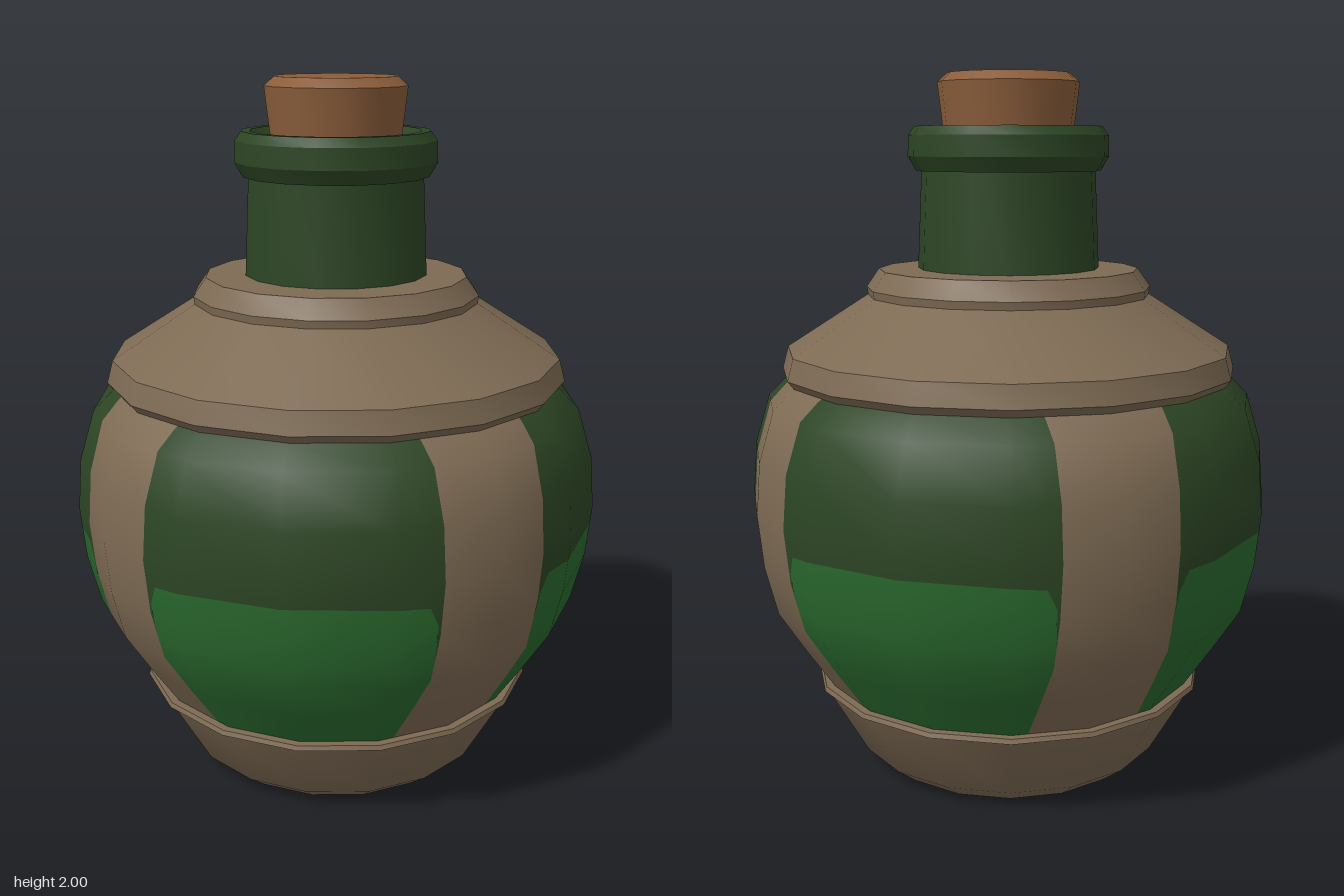
import * as THREE from 'three';
import { toCreasedNormals } from 'three/addons/utils/BufferGeometryUtils.js';

const SIDES = 16;
const STEP = (Math.PI * 2) / SIDES;
const STRAP = 0.165; // half width of the upright straps

// Bulging belly profile: [y, radius]
const BELLY = [[0.25, 0.537], [0.27, 0.55], [0.39, 0.63], [0.51, 0.705], [0.65, 0.74],
  [0.8, 0.755], [0.95, 0.743], [1.09, 0.7], [1.14, 0.65], [1.17, 0.61]];

function radiusAt(y) {
  let i = 0;
  while (i < BELLY.length - 2 && y > BELLY[i + 1][0]) i++;
  const [y0, r0] = BELLY[i], [y1, r1] = BELLY[i + 1];
  return r0 + ((r1 - r0) * (y - y0)) / (y1 - y0);
}

// Each column gives a point on the sixteen-sided ring of radius r
const corner = (k) => (r) => [r * Math.sin(k * STEP), r * Math.cos(k * STEP)];
const beside = (x) => (r) => {
  const t = Math.abs(x) / (r * Math.sin(STEP));
  return [x, r * (1 + t * (Math.cos(STEP) - 1))];
};
const swapped = (col) => (r) => col(r).reverse();

// Grid of columns and rows on the belly; rowY(row, column) gives the height
function bellyPatch(columns, rows, rowY) {
  const pos = [], nor = [], index = [];
  const w = columns.length;
  rows.forEach((row, j) => columns.forEach((col, i) => {
    const y = rowY(row, i);
    const r = radiusAt(y);
    const [x, z] = col(r);
    const slope = (radiusAt(y + 0.07) - radiusAt(y - 0.07)) / 0.14;
    const n = new THREE.Vector3(x, 0, z).normalize().setY(-slope).normalize();
    pos.push(x, y, z);
    nor.push(n.x, n.y, n.z);
    if (i < w - 1 && j < rows.length - 1) {
      const a = j * w + i;
      index.push(a, a + 1, a + w, a + 1, a + w + 1, a + w);
    }
  }));
  const geo = new THREE.BufferGeometry();
  geo.setAttribute('position', new THREE.Float32BufferAttribute(pos, 3));
  geo.setAttribute('normal', new THREE.Float32BufferAttribute(nor, 3));
  geo.setIndex(index);
  return geo;
}

// Profile points run from the bottom to the top: [radius, y]
function turned(points) {
  const profile = points.map(([r, y]) => new THREE.Vector2(r, y));
  return toCreasedNormals(new THREE.LatheGeometry(profile, SIDES), 0.5);
}

export function createModel() {
  const model = new THREE.Group();
  model.name = 'corkedFlask';

  const material = (name, color) => {
    const m = new THREE.MeshStandardMaterial({ color });
    m.name = name;
    return m;
  };
  const leather = material('leather', 0x7d6a53);
  const glass = material('darkGlass', 0x2c4524);
  const liquid = material('greenLiquid', 0x2a692e);
  const cork = material('cork', 0x8a5d3a);

  const add = (name, geo, mat, turn = 0) => {
    const mesh = new THREE.Mesh(geo, mat);
    mesh.name = name;
    mesh.rotation.y = turn;
    model.add(mesh);
  };

  // Glass panels and straps, repeated on four sides
  const start = [0, 0.008, 0.035].map((d) => beside(STRAP + d));
  const panel = [...start, corner(1), corner(2), corner(3), ...start.map(swapped).reverse()];
  const surface = [0.57, 0.68, 0.735, 0.745, 0.75, 0.745, 0.735, 0.68, 0.57];
  const heights = BELLY.map(([y]) => y);
  const rows = [...heights, 0.57, 0.68, 0.735, 0.75].sort((a, b) => a - b);

  const liquidGeo = bellyPatch(panel, rows.filter((y) => y <= 0.75), (y, i) => Math.min(y, surface[i]));
  const glassGeo = bellyPatch(panel, rows.filter((y) => y >= 0.57), (y, i) => Math.max(y, surface[i]));
  const strapGeo = bellyPatch([beside(-STRAP), corner(0), beside(STRAP)], heights, (y) => y);
  for (let q = 0; q < 4; q++) {
    const turn = (q * Math.PI) / 2;
    add('liquidPanel', liquidGeo, liquid, turn);
    add('glassPanel', glassGeo, glass, turn);
    add('strap', strapGeo, leather, turn);
  }

  // Leather base cup with a hollow underneath
  add('base', turned([[0.27, 0.05], [0.32, 0.005], [0.385, 0], [0.45, 0.05],
    [0.563, 0.25], [0.577, 0.255], [0.572, 0.268], [0.53, 0.268]]), leather);
  add('flaskBottom', turned([[0, 0.05], [0.29, 0.05]]), liquid);

  // Leather shoulder cap with a stepped collar
  add('shoulder', turned([[0.59, 1.145], [0.635, 1.142], [0.657, 1.17], [0.64, 1.232],
    [0.405, 1.383], [0.408, 1.405], [0.372, 1.457], [0.23, 1.46]]), leather);

  // Glass neck and rolled lip
  add('neck', turned([[0.26, 1.44], [0.246, 1.75]]), glass);
  add('lip', turned([[0.24, 1.732], [0.262, 1.732], [0.285, 1.772], [0.283, 1.83],
    [0.265, 1.855], [0.24, 1.855], [0.205, 1.81], [0.17, 1.8]]), glass);

  // Tapered cork stopper
  add('stopper', turned([[0, 1.74], [0.172, 1.74], [0.2, 1.975], [0.172, 2], [0, 2]]), cork);

  return model;
}
